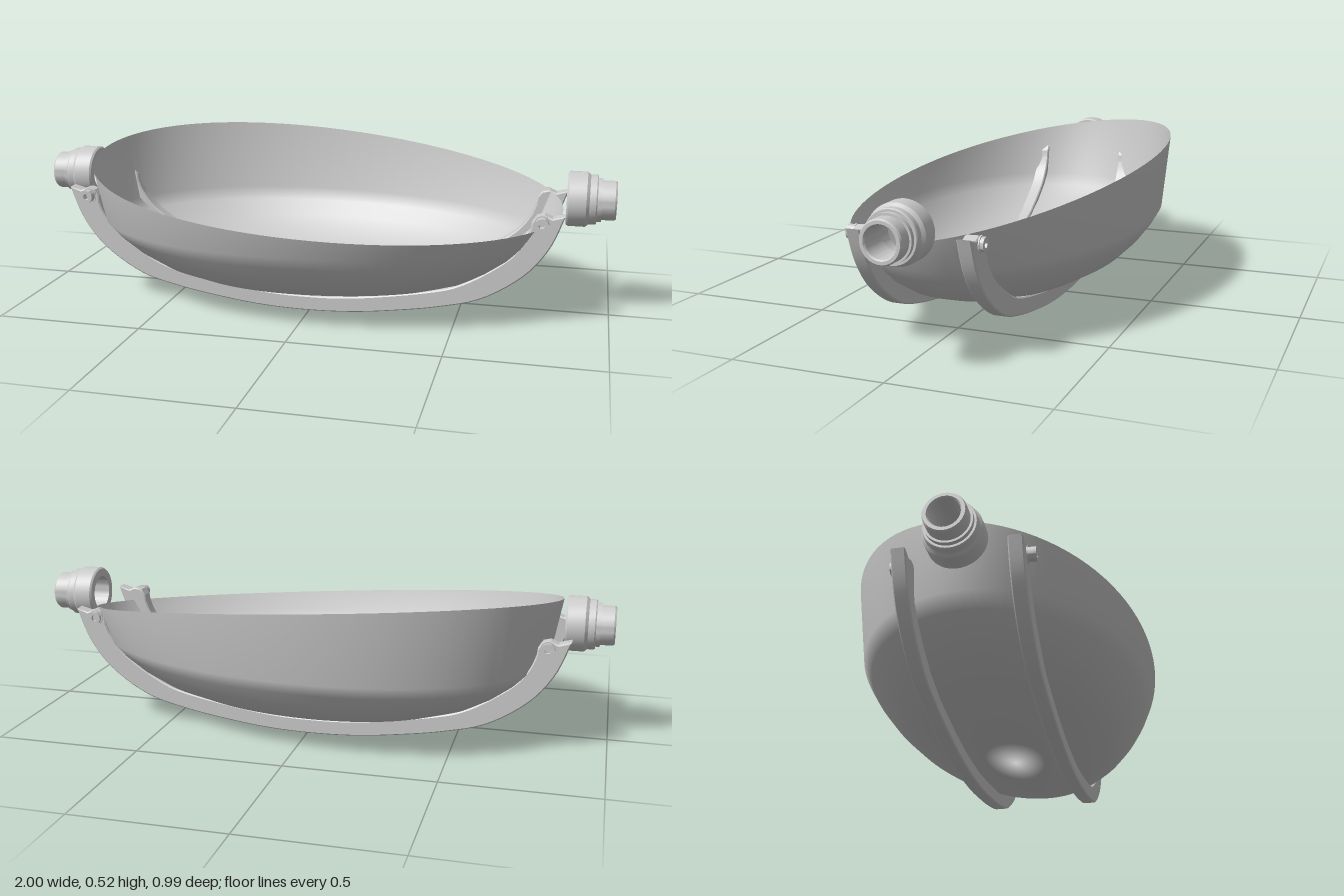
import * as THREE from 'three';
import { toCreasedNormals } from 'three/addons/utils/BufferGeometryUtils.js';

const grey = new THREE.MeshStandardMaterial({ color: 0xcccccc });
const greyDouble = new THREE.MeshStandardMaterial({ color: 0xcccccc, side: THREE.DoubleSide });

function part(name, geometry, material = grey) {
  const mesh = new THREE.Mesh(geometry, material);
  mesh.name = name;
  return mesh;
}

// Egg-shaped bowl: level rings below, the last ring cut by a tilted rim plane
function bowlGeometry() {
  const rings = [[0, 0.04], [0.2, 0.043], [0.4, 0.06], [0.6, 0.09], [0.73, 0.127],
    [0.83, 0.175], [0.905, 0.225], [0.953, 0.268], [1, null]];
  const n = 96, pos = [], index = [];
  rings.forEach(([r, level], j) => {
    for (let i = 0; i < n; i++) {
      const t = (i / n) * Math.PI * 2, s = Math.sin(t);
      const x = r * (0.83 * Math.cos(t) - 0.08 * s * s), z = r * 0.497 * s;
      pos.push(x, level ?? 0.42 - 0.075 * x - 0.157 * z, z);
      if (j === 0) continue;
      const k = (i + 1) % n, a = (j - 1) * n + i, b = (j - 1) * n + k, c = j * n + k, d = j * n + i;
      if (j > 1) index.push(a, b, c);
      index.push(a, c, d);
    }
  });
  const g = new THREE.BufferGeometry();
  g.setAttribute('position', new THREE.Float32BufferAttribute(pos, 3));
  g.setIndex(index);
  g.computeVertexNormals();
  // all points of the first ring meet at the bottom
  for (let i = 0; i < n; i++) g.attributes.normal.setXYZ(i, 0, -1, 0);
  return g;
}

// Curved cradle rib, its outline mirrored from half curves
function ribGeometry() {
  const curve = (pts, n) => new THREE.SplineCurve(pts.map(p => new THREE.Vector2(...p))).getPoints(n);
  const both = half => [...half.map(([x, y]) => [-x, y]).reverse(), ...half.slice(1)];
  const outer = [[0, 0], [0.16, 0.006], [0.31, 0.024], [0.46, 0.05], [0.6, 0.09],
    [0.73, 0.175], [0.81, 0.275], [0.855, 0.387]];
  const inner = [[0, 0.052], [0.18, 0.061], [0.42, 0.1], [0.54, 0.138], [0.67, 0.222],
    [0.725, 0.285], [0.747, 0.335]];
  const endR = [[0.815, 0.376], [0.79, 0.386], [0.765, 0.38], [0.75, 0.36]];
  const endL = endR.map(([x, y]) => [-x, y]).reverse();
  const v = p => p.map(q => new THREE.Vector2(...q));
  const outline = [...curve(both(outer), 64), ...v(endR), ...curve(both(inner).reverse(), 64), ...v(endL)];
  const b = 0.004, depth = 0.047;
  const g = new THREE.ExtrudeGeometry(new THREE.Shape(outline), {
    depth: depth - 2 * b, bevelThickness: b, bevelSize: b, bevelOffset: -b, bevelSegments: 1,
  });
  g.translate(0, 0, b - depth / 2);
  return toCreasedNormals(g, 0.5);
}

// Bolt with a washer and a recessed hexagonal socket, pointing along +z
function bolt(length) {
  const g = new THREE.Group();
  g.name = 'bolt';
  const head = new THREE.Shape().absarc(0, 0, 0.022, 0, Math.PI * 2);
  const socket = new THREE.Path();
  for (let i = 0; i <= 6; i++) {
    const a = -i * Math.PI / 3;
    socket[i ? 'lineTo' : 'moveTo'](0.011 * Math.cos(a), 0.011 * Math.sin(a));
  }
  head.holes.push(socket);
  const cap = part('boltHead', toCreasedNormals(
    new THREE.ExtrudeGeometry(head, { depth: length, bevelEnabled: false, curveSegments: 24 }), 0.5));
  const core = part('boltShank', new THREE.CylinderGeometry(0.013, 0.013, 0.04, 16).rotateX(Math.PI / 2));
  core.position.z = -0.016;
  const washer = part('washer', new THREE.CylinderGeometry(0.026, 0.026, 0.005, 24).rotateX(Math.PI / 2));
  washer.position.z = 0.001;
  g.add(cap, core, washer);
  return g;
}

// Hollow stepped pipe fitting; profile is [radius, distance along x]
function fittingGeometry() {
  const profile = [[0.06, 0.84], [0.087, 0.84], [0.092, 0.846], [0.092, 0.903], [0.083, 0.913],
    [0.083, 0.934], [0.08, 0.938], [0.073, 0.938], [0.073, 0.953], [0.066, 0.953],
    [0.066, 0.994], [0.062, 1], [0.052, 1], [0.048, 0.995], [0.048, 0.9], [0.06, 0.9], [0.06, 0.84]];
  const g = new THREE.LatheGeometry(profile.map(p => new THREE.Vector2(...p)), 48);
  return toCreasedNormals(g.rotateZ(-Math.PI / 2), 0.5);
}

export function createModel() {
  const model = new THREE.Group();
  model.name = 'cradledBowl';
  model.add(part('bowl', bowlGeometry(), greyDouble));

  // Two ribs, bolted on their outer faces
  const ribG = ribGeometry();
  for (const side of [1, -1]) {
    const support = new THREE.Group();
    support.name = side > 0 ? 'frontSupport' : 'backSupport';
    support.position.set(-0.013, 0, side * 0.175);
    support.add(part('rib', ribG));
    for (const x of [-0.783, 0.783]) {
      const b = bolt(side > 0 ? 0.028 : 0.015);
      b.position.set(x, 0.36, side * 0.0235);
      if (side < 0) b.rotation.y = Math.PI;
      support.add(b);
    }
    model.add(support);
  }

  // Pipe fittings at both ends
  const fitG = fittingGeometry();
  for (const side of [1, -1]) {
    const fitting = part(side > 0 ? 'leftFitting' : 'rightFitting', fitG, greyDouble);
    fitting.position.y = 0.4;
    if (side < 0) fitting.rotation.y = Math.PI;
    model.add(fitting);
  }
  return model;
}
